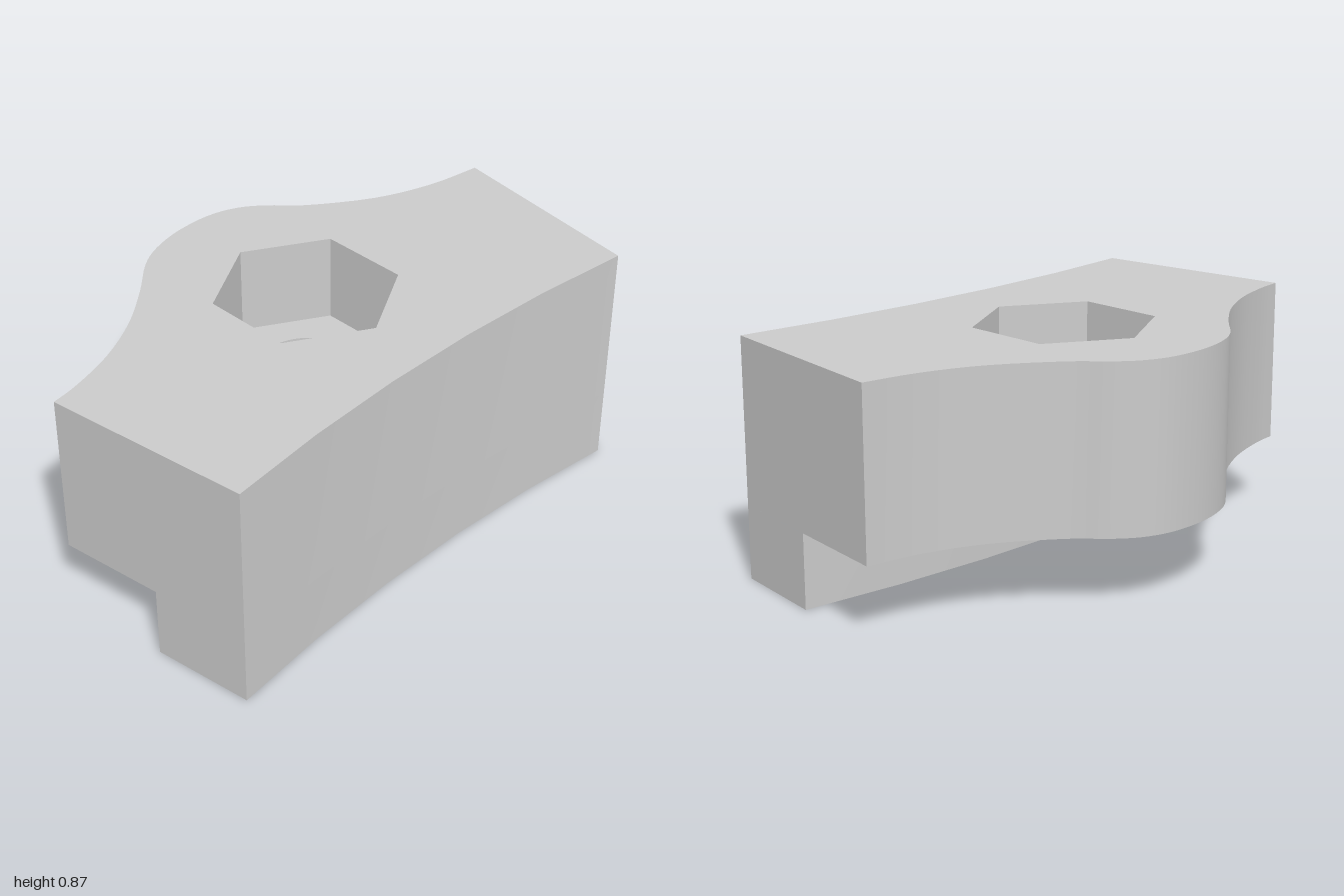
import * as THREE from 'three';
import { toCreasedNormals } from 'three/addons/utils/BufferGeometryUtils.js';

// Plan points are (x, -z); heights are y.
const TOP = 0.87, STEP = 0.27, SHELF = 0.54;
const RADIUS = 6.78, SWEEP = 0.2688, FRONT_Z = 0.423, LIP_DEPTH = 0.37;
const HOLE = new THREE.Vector2(-0.018, 0.078);

const material = new THREE.MeshStandardMaterial({ color: 0xcccccc });

// Arc concentric with the curved front face, offset towards the back
function frontArc(offset) {
  const r = RADIUS + offset;
  return Array.from({ length: 6 }, (_, i) => {
    const a = (SWEEP * i) / 5;
    return new THREE.Vector2(-1 + r * Math.sin(a), -(FRONT_Z - offset + r * (1 - Math.cos(a))));
  });
}

// Regular polygon, clockwise so that its walls face inward
function polygon(radius, sides, start) {
  return Array.from({ length: sides }, (_, i) => {
    const a = start + (i * 2 * Math.PI) / sides;
    return new THREE.Vector2(HOLE.x + radius * Math.sin(a), HOLE.y + radius * Math.cos(a));
  });
}

// Vertical wall around a closed plan outline
function wall(name, points, y0, y1) {
  const pos = [];
  points.forEach((a, i) => {
    const b = points[(i + 1) % points.length];
    pos.push(a.x, y0, -a.y, b.x, y0, -b.y, b.x, y1, -b.y);
    pos.push(a.x, y0, -a.y, b.x, y1, -b.y, a.x, y1, -a.y);
  });
  const g = new THREE.BufferGeometry();
  g.setAttribute('position', new THREE.Float32BufferAttribute(pos, 3));
  const mesh = new THREE.Mesh(toCreasedNormals(g, 0.5), material);
  mesh.name = name;
  return mesh;
}

// Flat horizontal face, optionally with a hole, facing up or down
function face(name, points, y, up, hole) {
  const shape = new THREE.Shape(up ? points : points.map(p => new THREE.Vector2(p.x, -p.y)));
  if (hole) {
    shape.holes.push(new THREE.Path(up ? hole : hole.map(p => new THREE.Vector2(p.x, -p.y))));
  }
  const g = new THREE.ShapeGeometry(shape);
  g.rotateX(up ? -Math.PI / 2 : Math.PI / 2);
  g.translate(0, y, 0);
  const mesh = new THREE.Mesh(g, material);
  mesh.name = name;
  return mesh;
}

export function createModel() {
  const group = new THREE.Group();
  group.name = 'clampJaw';

  // Rear edge: concave flanks blending into a rounded hump
  const back = new THREE.SplineCurve([
    [1, 0.066], [0.8, 0.13], [0.6, 0.24], [0.41, 0.41], [0.325, 0.522], [0.245, 0.598],
    [0.14, 0.647], [0, 0.667], [-0.13, 0.655], [-0.235, 0.615], [-0.37, 0.522],
    [-0.535, 0.427], [-0.715, 0.362], [-0.89, 0.333], [-1, 0.33],
  ].map(p => new THREE.Vector2(...p))).getPoints(56);

  const front = frontArc(0);
  const lipBack = frontArc(LIP_DEPTH);
  const outline = [...front, ...back];
  const lip = [...front, ...lipBack.slice().reverse()];
  const underside = [...lipBack, ...back];
  const hex = polygon(0.327, 6, 0.133);
  const bore = polygon(0.176, 48, 0);

  // Main body with hexagonal pocket and round through hole
  const body = new THREE.Group();
  body.name = 'body';
  body.add(
    wall('bodySides', outline, STEP, TOP),
    face('bodyTop', outline, TOP, true, hex),
    face('bodyUnderside', underside, STEP, false, bore),
    wall('hexPocket', hex, SHELF, TOP),
    face('pocketFloor', hex, SHELF, true, bore),
    wall('boltHole', bore, STEP, SHELF),
  );

  // Lip hanging below the front edge
  const lipGroup = new THREE.Group();
  lipGroup.name = 'frontLip';
  lipGroup.add(wall('lipSides', lip, 0, STEP), face('lipBottom', lip, 0, false));

  group.add(body, lipGroup);
  return group;
}
